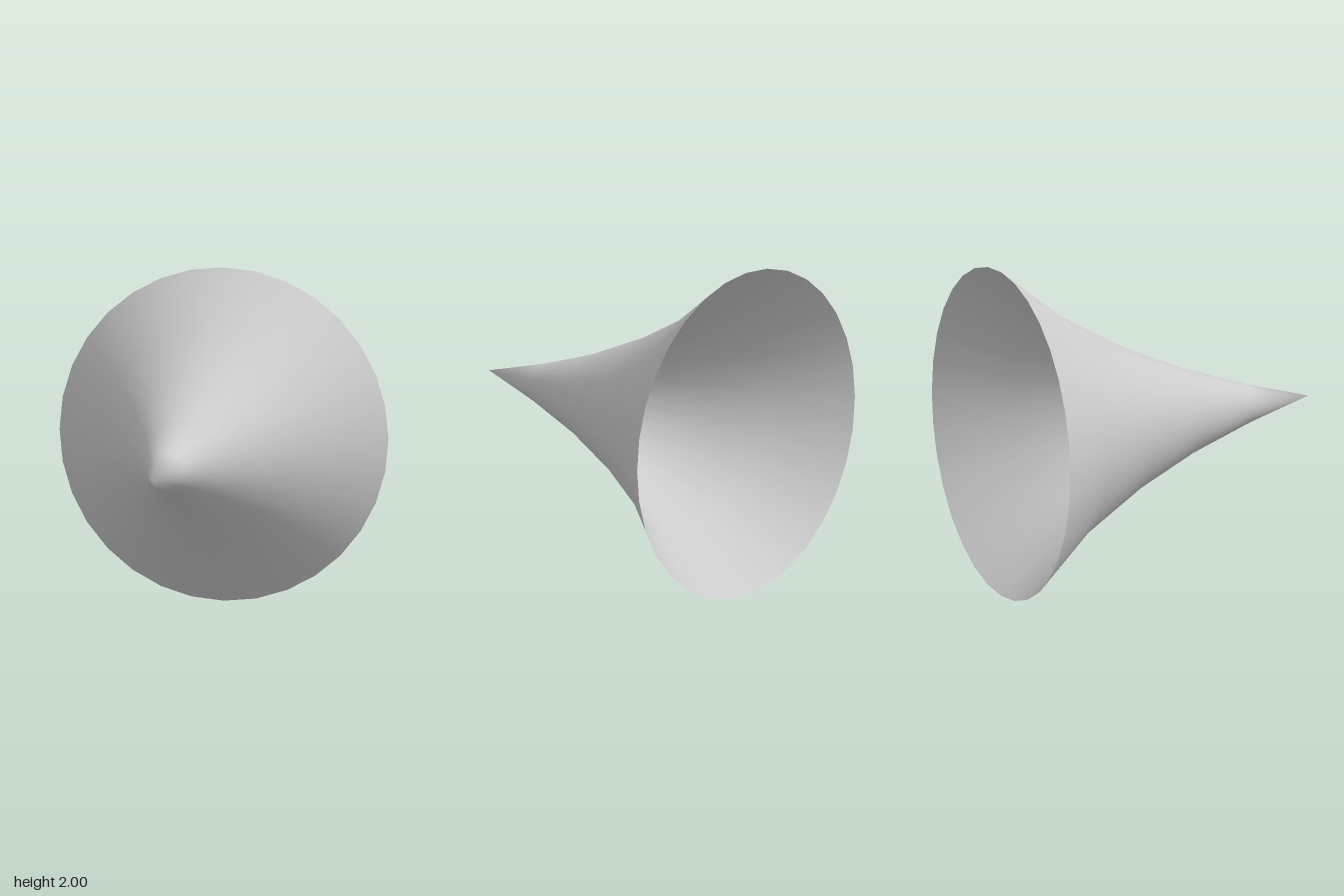
import * as THREE from 'three';

export function createModel() {
  const group = new THREE.Group();

  // Flared profile: radius at even steps from the open rim to the tip
  const radii = [1, 0.673, 0.44, 0.257, 0.116, 0];
  const profile = radii.map((r, i) => new THREE.Vector2(r, -1 + 0.4 * i));

  // Lathe around y, then lay down so that the tip points to the front
  const geometry = new THREE.LatheGeometry(profile, 32);
  geometry.rotateX(Math.PI / 2);
  geometry.translate(0, 1, 0);

  // Rounded shading at the tip
  const { position, normal } = geometry.attributes;
  for (let i = 0; i < position.count; i++) {
    if (position.getZ(i) > 0.99) normal.setXYZ(i, 0, 0, 1);
  }

  // Thin open shell, visible from inside and outside
  const horn = new THREE.Mesh(
    geometry,
    new THREE.MeshStandardMaterial({ color: 0xcccccc, side: THREE.DoubleSide })
  );
  horn.name = 'flaredHorn';
  group.add(horn);
  return group;
}
